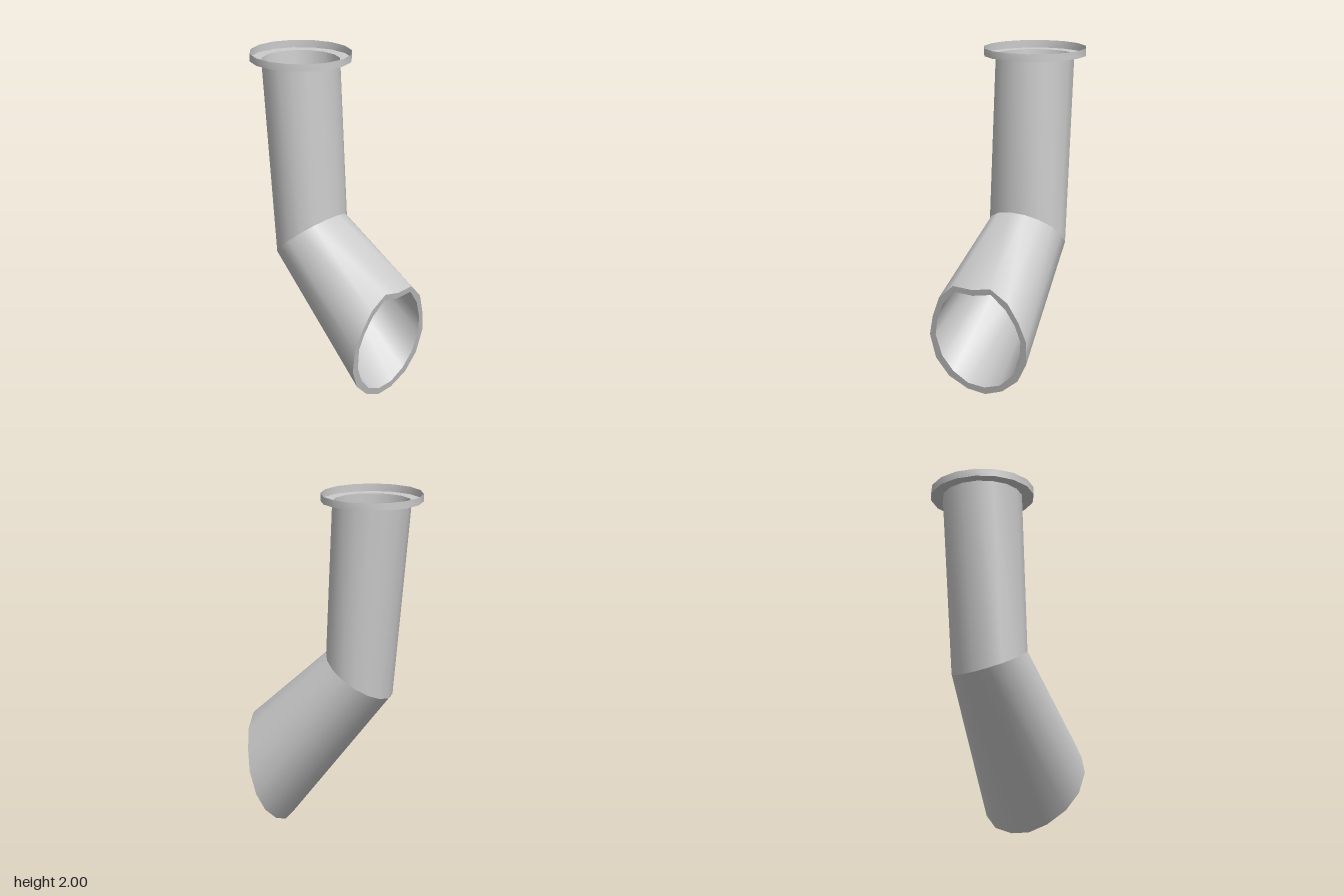
import * as THREE from 'three';

const SIDES = 16;
const material = new THREE.MeshStandardMaterial({ color: 0xcccccc, side: THREE.DoubleSide });

// Ring of points, starting at the front and running towards +x
function ring(fn) {
  return Array.from({ length: SIDES }, (_, i) => {
    const a = (i / SIDES) * Math.PI * 2;
    return fn(Math.sin(a), Math.cos(a), i);
  });
}

const circle = (r, y) => ring((s, c) => new THREE.Vector3(-0.01 + r * s, y, -0.2 + r * c));

// Smooth skin between an upper and a lower ring
function loft(name, upper, lower) {
  const index = [];
  for (let i = 0; i < SIDES; i++) {
    const j = (i + 1) % SIDES;
    index.push(i, SIDES + i, SIDES + j, i, SIDES + j, j);
  }
  const geometry = new THREE.BufferGeometry().setFromPoints([...upper, ...lower]);
  geometry.setIndex(index);
  geometry.computeVertexNormals();
  const mesh = new THREE.Mesh(geometry, material);
  mesh.name = name;
  return mesh;
}

// Slanted mouth: half outlines from top to bottom, mirrored in x
const OUTER = [[0, 0.64], [0.13, 0.655], [0.24, 0.575], [0.3, 0.46], [0.337, 0.345],
  [0.315, 0.205], [0.24, 0.1], [0.12, 0.03], [0, 0.005]];
const INNER = [[0, 0.605], [0.13, 0.62], [0.22, 0.535], [0.272, 0.44], [0.297, 0.345],
  [0.27, 0.22], [0.205, 0.13], [0.11, 0.065], [0, 0.045]];

function mouth(half) {
  return ring((s, c, i) => {
    const [x, y] = half[i <= 8 ? i : SIDES - i];
    return new THREE.Vector3(i <= 8 ? x : -x, y, 0.355 + (y - 0.005) * 0.23);
  });
}

export function createModel() {
  const group = new THREE.Group();
  group.name = 'bentPipe';

  const pipeTop = circle(0.235, 1.955);
  const bend = ring((s, c) => new THREE.Vector3(-0.01 + 0.235 * s, 0.915 + 0.135 * c, -0.1175 + 0.1875 * c));
  const outerMouth = mouth(OUTER);
  const innerMouth = mouth(INNER);

  // Inner end of the lining, part way up the spout and just inside its wall
  const liningEnd = ring((s, c) => new THREE.Vector3(0.23 * s, 0.7 + 0.18 * c, 0.075 + 0.118 * c));

  group.add(
    // Shallow open collar
    loft('collarRim', circle(0.305, 2), circle(0.305, 1.955)),
    loft('collarFloor', pipeTop, circle(0.305, 1.955)),
    // Pipe bodies meeting at the mitred bend
    loft('upperPipe', pipeTop, bend),
    loft('flaredSpout', bend, outerMouth),
    // Wall thickness at the mouth
    loft('mouthRim', outerMouth, innerMouth),
    loft('spoutLining', liningEnd, innerMouth),
  );
  return group;
}
